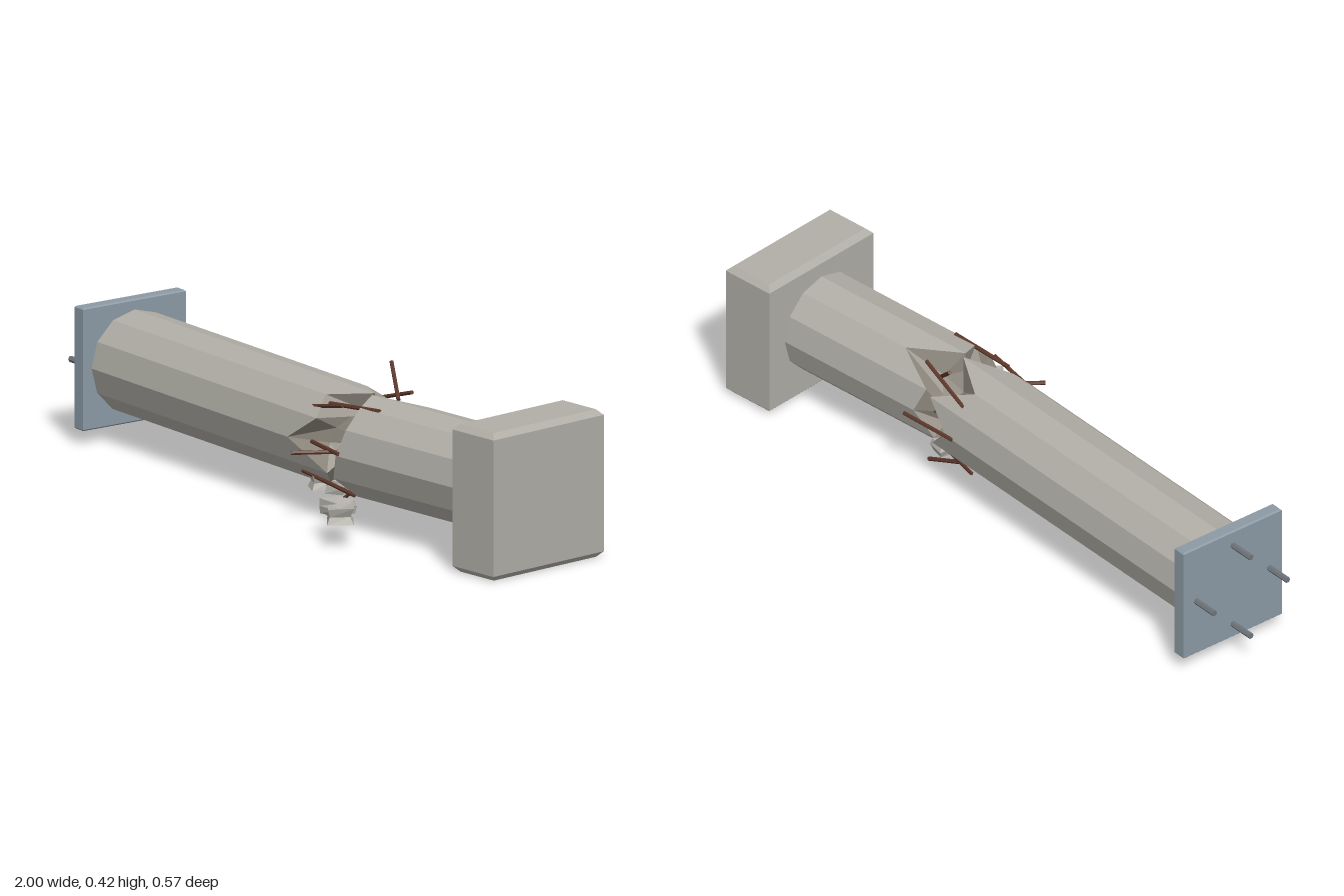
import * as THREE from 'three';

const R = 0.146, N = 12, AXIS_Y = 0.215, AXIS_Z = -0.01;
const mat = (color) => new THREE.MeshStandardMaterial({ color, flatShading: true });
const concrete = mat(0xb0aea6), fractured = mat(0x8f897f), steel = mat(0x8c9aa5);
const boltSteel = mat(0x6f757b), rust = mat(0x5e382b);

function add(parent, name, geometry, material) {
  const mesh = new THREE.Mesh(geometry, material);
  mesh.name = name;
  parent.add(mesh);
  return mesh;
}

function soup(points) {
  const g = new THREE.BufferGeometry().setFromPoints(points);
  g.computeVertexNormals();
  return g;
}

// Rectangular block with chamfered top and bottom rims, centred on the origin
function chamferedBlock(w, h, d, c) {
  const s = new THREE.Shape([[-1, -1], [1, -1], [1, 1], [-1, 1]]
    .map(([x, y]) => new THREE.Vector2(x * (w / 2 - c), y * (d / 2 - c))));
  const g = new THREE.ExtrudeGeometry(s, {
    depth: h - 2 * c, bevelEnabled: true, bevelSegments: 1, bevelSize: c, bevelThickness: c,
  });
  return g.rotateX(-Math.PI / 2).translate(0, c - h / 2, 0);
}

// Twelve-sided shaft along x whose broken end follows the ring of x values
function brokenShaft(parent, name, x0, ends, core, dir) {
  const at = (k, x, r) => {
    const a = (k % N) * Math.PI * 2 / N;
    return new THREE.Vector3(x, r * Math.sin(a), r * Math.cos(a));
  };
  const side = [], face = [];
  const tri = (list, a, b, c) => list.push(a, ...(dir > 0 ? [b, c] : [c, b]));
  const tip = new THREE.Vector3(core, 0, 0);
  const mid = (k) => at(k, (ends[k % N] + core) / 2 + dir * (k % 2 ? -0.02 : 0.02), R * 0.6);
  for (let k = 0; k < N; k++) {
    const a = at(k, x0, R), a2 = at(k + 1, x0, R);
    const b = at(k, ends[k], R), b2 = at(k + 1, ends[(k + 1) % N], R);
    tri(side, a, b, b2);
    tri(side, a, b2, a2);
    tri(face, b, mid(k), mid(k + 1));
    tri(face, b, mid(k + 1), b2);
    tri(face, tip, mid(k + 1), mid(k));
  }
  add(parent, name, soup(side), concrete);
  add(parent, name + 'Fracture', soup(face), fractured);
}

function rod(parent, name, a, b, r, material) {
  const from = new THREE.Vector3(...a), to = new THREE.Vector3(...b);
  const d = to.clone().sub(from);
  const m = add(parent, name, new THREE.CylinderGeometry(r, r, d.length(), 6), material);
  m.position.copy(from).add(to).multiplyScalar(0.5);
  m.quaternion.setFromUnitVectors(new THREE.Vector3(0, 1, 0), d.normalize());
}

// Irregular rubble lump: a waisted four-sided block, skewed by a rule
function chunk(parent, x, z, r, h, seed) {
  const g = new THREE.CylinderGeometry(r, r, h, 4, 2);
  const p = g.attributes.position;
  for (let i = 0; i < p.count; i++) {
    const a = p.getX(i), y = p.getY(i), c = p.getZ(i);
    const n = Math.sin(seed * 5.1 + a * 90 + y * 140 + c * 60);
    const s = 1 + 0.18 * n;
    p.setXYZ(i, a * s, y > 0.01 ? y + 0.006 * n : y, c * s);
  }
  g.computeVertexNormals();
  const m = add(parent, 'rubble', g, concrete);
  m.position.set(x, 0.069 + h / 2, z);
  m.rotation.y = seed;
}

export function createModel() {
  const root = new THREE.Group();
  root.name = 'brokenColumn';

  // Long part with base plate and anchor bolts
  const lower = new THREE.Group();
  lower.name = 'lowerColumn';
  lower.position.set(0, AXIS_Y, AXIS_Z);
  root.add(lower);
  brokenShaft(lower, 'lowerShaft', -0.89,
    [0.04, 0.15, 0.12, 0.25, 0.11, 0.24, 0.15, 0.23, 0.12, 0.21, 0.15, 0.2], 0.24, 1);
  add(lower, 'basePlate', chamferedBlock(0.04, 0.35, 0.35, 0.004), steel).position.x = -0.9;
  for (let k = 0; k < 4; k++) {
    const y = 0.13 * Math.sin(k * Math.PI / 2), z = 0.13 * Math.cos(k * Math.PI / 2);
    rod(lower, 'anchorBolt', [-1, y, z], [-0.9, y, z], 0.009, boltSteel);
  }

  // Short part with capital, swung aside at the break
  const upper = new THREE.Group();
  upper.name = 'upperColumn';
  upper.position.set(0.32, AXIS_Y, 0);
  upper.rotation.y = THREE.MathUtils.degToRad(7);
  root.add(upper);
  brokenShaft(upper, 'upperShaft', 0.5,
    [-0.05, -0.03, -0.03, -0.06, 0.1, -0.03, 0, -0.06, 0.0, -0.08, -0.04, -0.08], -0.1, -1);
  add(upper, 'capital', chamferedBlock(0.166, 0.42, 0.415, 0.016), concrete)
    .position.set(0.572, 0.21 - AXIS_Y, 0);

  // Splayed reinforcing bars around the break
  const bars = [
    [[0.12, 0.215, 0.11], [0.3, 0.222, 0.15]],
    [[0.26, 0.215, 0.11], [0.18, 0.212, 0.225]],
    [[0.06, 0.3, 0.09], [0.23, 0.335, 0.085]],
    [[0.37, 0.345, 0.06], [0.17, 0.33, 0.085]],
    [[0.12, 0.305, -0.115], [0.3, 0.36, -0.1]],
    [[0.25, 0.33, -0.09], [0.155, 0.412, -0.135]],
    [[0.12, 0.215, -0.155], [0.3, 0.222, -0.18]],
    [[0.36, 0.215, -0.09], [0.1, 0.212, -0.11]],
    [[0.12, 0.105, -0.08], [0.29, 0.042, -0.1]],
    [[0.28, 0.09, -0.07], [0.08, 0.11, -0.12]],
    [[0.05, 0.115, 0.09], [0.28, 0.09, 0.08]],
    [[0.25, 0.1, 0.06], [0.16, 0.012, 0.085]],
  ];
  for (const [a, b] of bars) rod(root, 'rebar', a, b, 0.006, rust);

  // Fallen rubble beside and under the break
  chunk(root, 0.09, 0.06, 0.036, 0.038, 0.4);
  chunk(root, 0.16, 0.05, 0.036, 0.04, 1.3);
  chunk(root, 0.26, -0.07, 0.036, 0.04, 2.2);
  chunk(root, 0.345, 0.185, 0.05, 0.043, 0.9);
  chunk(root, 0.425, 0.235, 0.046, 0.041, 0.2);
  return root;
}
